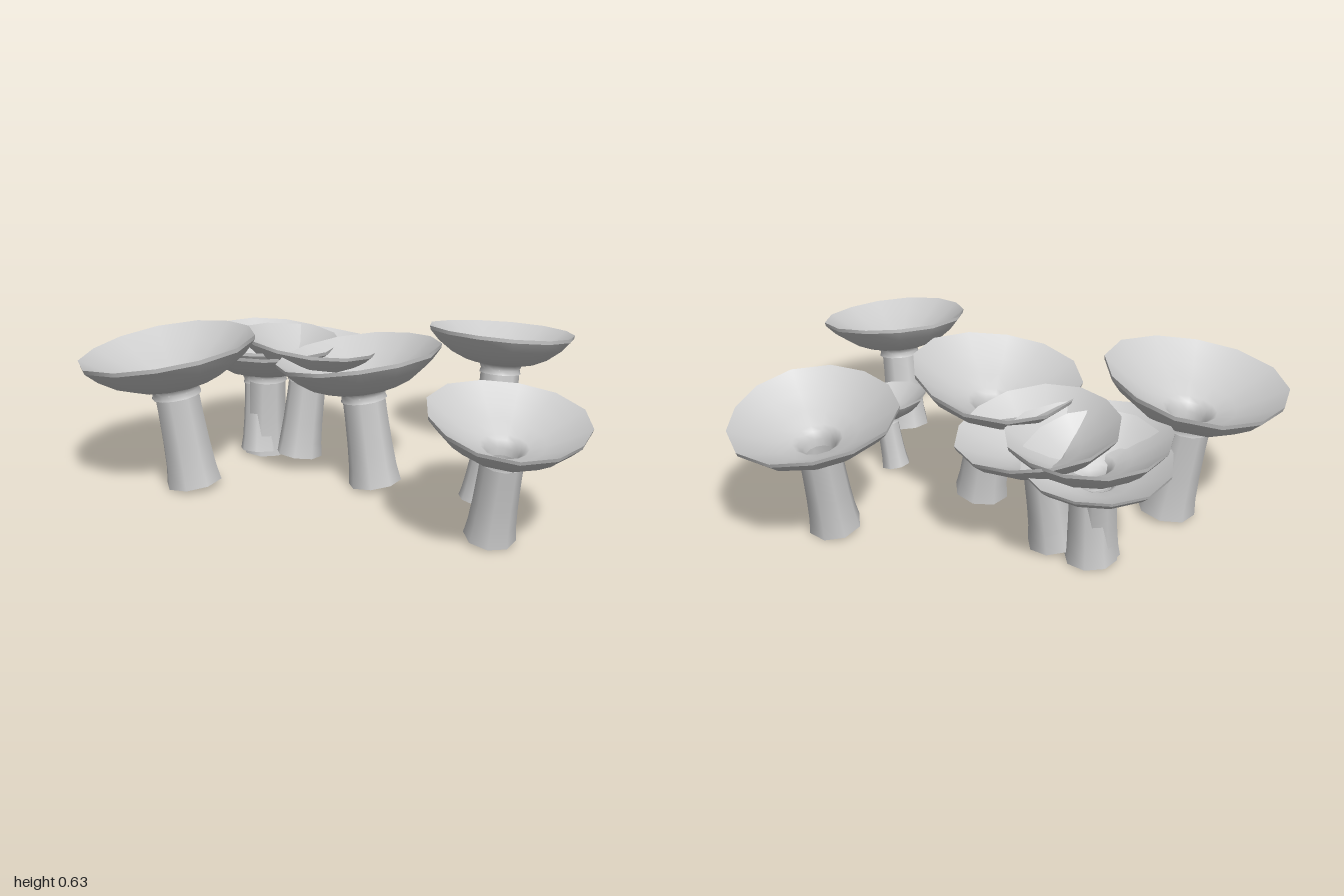
import * as THREE from 'three';

// Profiles for a mushroom whose cap radius is 1: [radius, height], bottom to top on the outside
const STEM = [[0.33, 0], [0.30, 0.2], [0.28, 0.5], [0.268, 0.85], [0.265, 1.14]];
const UNDERSIDE = [[0.285, 1.07], [0.268, 1.13], [0.3, 1.2], [0.48, 1.235], [0.68, 1.33], [0.87, 1.475], [0.99, 1.61]];
const RIM = [[0.99, 1.61], [1.0, 1.66]];
const BOWL = [[1.0, 1.66], [0.95, 1.625], [0.75, 1.49], [0.5, 1.355], [0.3, 1.275], [0.24, 1.23], [0.2, 1.14], [0.185, 1.05]];

// Each mushroom: base x, base z, cap radius, lean in x and z, direction of the cap's widest bulge in degrees
const MUSHROOMS = [
  ['frontMushroom', -0.5, 0.585, 0.345, -0.1, 0.1, 90],
  ['backMushroom', -0.04, -0.61, 0.31, -0.08, -0.155, 250],
  ['middleMushroom', -0.06, 0.005, 0.325, -0.13, 0.055, 90],
  ['leftMushroom', 0.605, -0.025, 0.296, 0.175, 0.0, 40],
  ['smallMushroom', 0.295, -0.212, 0.178, 0.17, -0.1, 270],
  ['lowMushroom', -0.645, 0.18, 0.268, -0.13, -0.12, 160],
  ['clusterMushroom', -0.51, 0.075, 0.298, 0.02, -0.15, 270],
  ['outerMushroom', -0.655, 0.15, 0.3, 0.03, -0.03, 75],
];

// Lathe whose outline bulges gently towards three directions
function lathe(profile, sides, amount, bulge) {
  const points = profile.map(([r, y]) => new THREE.Vector2(r, y));
  const geometry = new THREE.LatheGeometry(points, sides);
  const p = geometry.attributes.position;
  for (let i = 0; i < p.count; i++) {
    const x = p.getX(i), z = p.getZ(i);
    const k = 1 + amount * Math.hypot(x, z) * Math.cos(3 * (Math.atan2(z, x) - bulge));
    p.setX(i, x * k);
    p.setZ(i, z * k);
  }
  return geometry;
}

function createMushroom(name, x, z, radius, leanX, leanZ, degrees, material) {
  const group = new THREE.Group();
  group.name = name;
  const bulge = THREE.MathUtils.degToRad(degrees);
  const add = (partName, profile, sides, amount) => {
    const mesh = new THREE.Mesh(lathe(profile, sides, amount, bulge), material);
    mesh.name = partName;
    group.add(mesh);
  };
  add('stem', STEM, 8, 0);
  add('capUnderside', UNDERSIDE, 13, 0.035);
  add('capRim', RIM, 13, 0.035);
  add('capBowl', BOWL, 13, 0.035);

  // Lean the whole mushroom and rest the lowest edge of its stem on the ground
  const axis = new THREE.Vector3(leanX, 1, leanZ).normalize();
  group.quaternion.setFromUnitVectors(new THREE.Vector3(0, 1, 0), axis);
  group.scale.setScalar(radius);
  group.position.set(x, 0.33 * radius * Math.hypot(axis.x, axis.z), z);
  return group;
}

export function createModel() {
  const model = new THREE.Group();
  model.name = 'mushroomCluster';
  const material = new THREE.MeshStandardMaterial({ color: 0xcccccc, side: THREE.DoubleSide });
  material.name = 'paleGrey';
  for (const spec of MUSHROOMS) model.add(createMushroom(...spec, material));
  return model;
}
